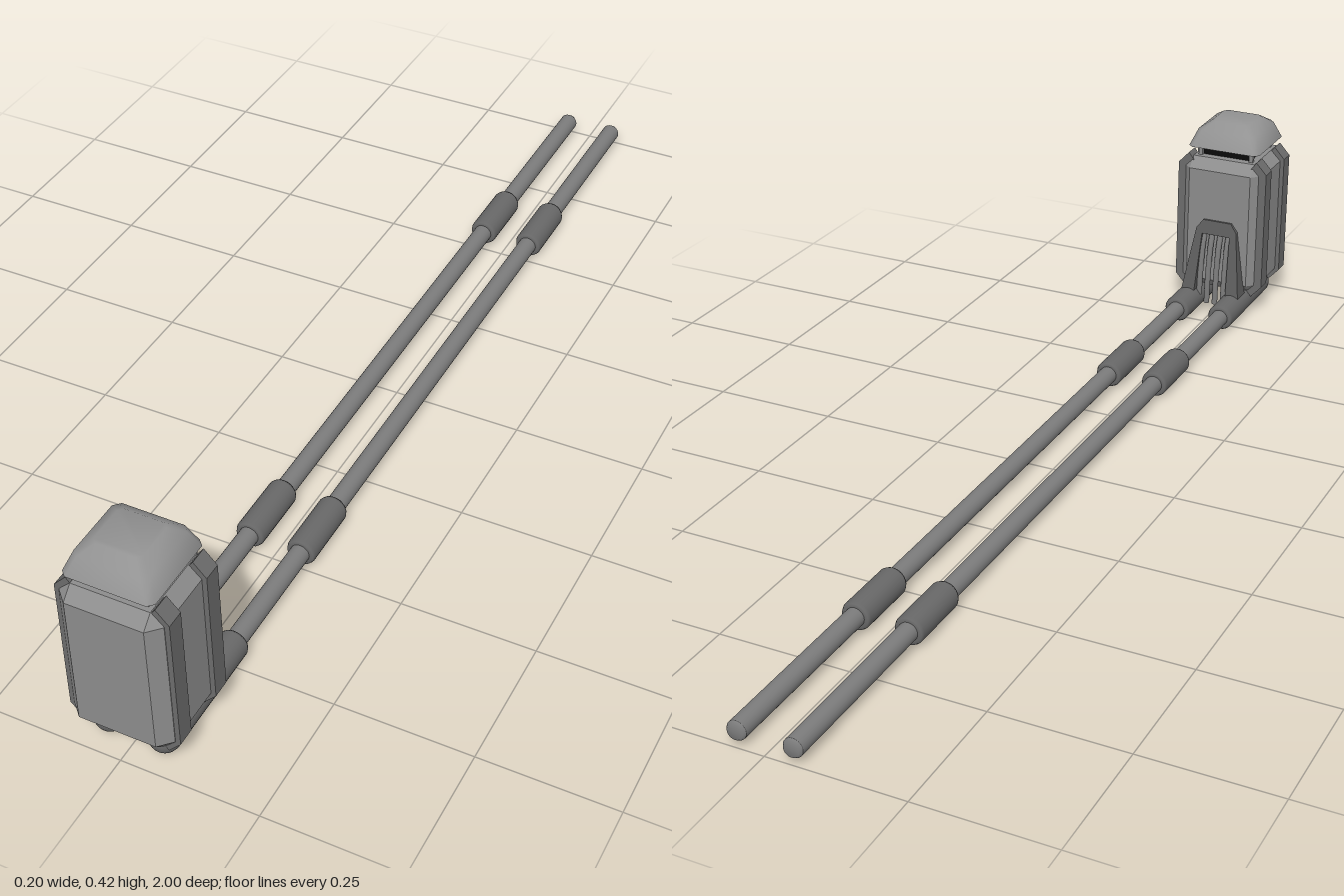
import * as THREE from 'three';
import { toCreasedNormals } from 'three/addons/utils/BufferGeometryUtils.js';

const paint = (color, flatShading = false) => new THREE.MeshStandardMaterial({ color, flatShading });
const shell = paint(0x8d8d8d, true);
const capPaint = paint(0x939393);
const ribPaint = paint(0x6c6c6c, true);
const archPaint = paint(0x5e5e5e, true);
const pipePaint = paint(0x7c7c7c);
const sleevePaint = paint(0x686868);
const cablePaint = paint(0x7c7c7c);
cablePaint.side = THREE.DoubleSide;
const black = paint(0x0a0a0a);
const CZ = 0.91; // depth centre of the housing

function add(parent, name, geometry, material, x = 0, y = 0, z = 0) {
  const mesh = new THREE.Mesh(geometry, material);
  mesh.name = name;
  mesh.position.set(x, y, z);
  parent.add(mesh);
  return mesh;
}

// Closed loft through chamfered rectangles: [y, halfX, halfZ, chamfer]
function loft(rings) {
  const pos = [], idx = [];
  for (const [y, a, b, c] of rings) {
    const ring = [[a, b - c], [a, c - b], [a - c, -b], [c - a, -b], [-a, c - b], [-a, b - c], [c - a, b], [a - c, b]];
    for (const [x, z] of ring) pos.push(x, y, z);
  }
  for (let r = 0; r < rings.length - 1; r++) {
    for (let i = 0; i < 8; i++) {
      const p = r * 8 + i, q = r * 8 + (i + 1) % 8;
      idx.push(p, q, q + 8, p, q + 8, p + 8);
    }
  }
  const top = (rings.length - 1) * 8;
  for (let i = 1; i < 7; i++) idx.push(0, i + 1, i, top, top + i, top + i + 1);
  const g = new THREE.BufferGeometry();
  g.setAttribute('position', new THREE.Float32BufferAttribute(pos, 3));
  g.setIndex(idx);
  const out = g.toNonIndexed();
  out.computeVertexNormals();
  return out;
}

// Round bar along z, from a list of [radius, z] with z rising
function turned(profile) {
  const g = new THREE.LatheGeometry(profile.map(([r, z]) => new THREE.Vector2(r, z)), 24);
  return g.rotateX(Math.PI / 2);
}

function polygon(points) {
  return new THREE.Shape(points.map(([x, y]) => new THREE.Vector2(x, y)));
}

export function createModel() {
  const model = new THREE.Group();
  model.name = 'pipeStation';

  // Chamfered housing
  add(model, 'housing', loft([
    [0.046, 0.07, 0.068, 0],
    [0.068, 0.092, 0.09, 0.022],
    [0.322, 0.092, 0.09, 0.022],
    [0.344, 0.07, 0.068, 0],
  ]), shell, 0, 0, CZ);

  // Neck with corner posts
  add(model, 'neckCore', new THREE.BoxGeometry(0.108, 0.045, 0.1), black, 0, 0.364, CZ);
  for (const sx of [-1, 1]) {
    for (const sz of [-1, 1]) {
      add(model, 'neckPost', new THREE.BoxGeometry(0.009, 0.045, 0.009), shell, sx * 0.058, 0.364, CZ + sz * 0.054);
    }
  }

  // Cap with a hollow underside and softly shaded slopes
  add(model, 'cap', toCreasedNormals(loft([
    [0.382, 0.062, 0.06, 0.01],
    [0.366, 0.07, 0.068, 0.01],
    [0.366, 0.081, 0.078, 0.01],
    [0.402, 0.066, 0.064, 0.011],
    [0.418, 0.043, 0.041, 0.008],
  ]), 0.9), capPaint, 0, 0, CZ);

  // Side ribs, two on each side
  for (const s of [-1, 1]) {
    const pts = [[0.066, 0.336], [0.078, 0.352], [0.101, 0.327], [0.101, 0.065], [0.078, 0.04], [0.066, 0.054]];
    const shape = polygon(pts.map(([x, y]) => [s * x, y]));
    for (const z of [0.834, 0.944]) {
      const rib = new THREE.ExtrudeGeometry(shape, { depth: 0.033, bevelEnabled: false });
      add(model, 'sideRib', rib, ribPaint, 0, 0, z);
    }
  }

  // Rear arch whose back face slopes outward toward the foot
  const arch = new THREE.ExtrudeGeometry(polygon([
    [-0.068, 0.04], [-0.046, 0.192], [-0.032, 0.21], [0.032, 0.21], [0.046, 0.192], [0.068, 0.04],
    [0.037, 0.04], [0.032, 0.18], [-0.032, 0.18], [-0.037, 0.04],
  ]), { depth: 1, bevelEnabled: false });
  const p = arch.attributes.position;
  for (let i = 0; i < p.count; i++) {
    const back = 0.781 + (p.getY(i) - 0.04) * 0.2;
    p.setZ(i, p.getZ(i) < 0.5 ? back : 0.825);
  }
  arch.computeVertexNormals();
  add(model, 'rearArch', arch, archPaint);

  // Cables hanging inside the arch to just below the housing
  for (const x of [-0.0255, -0.0065, 0.0125, 0.0305]) {
    const path = new THREE.CatmullRomCurve3([
      [0.186, 0.825], [0.15, 0.813], [0.08, 0.803], [0.023, 0.8],
    ].map(([y, z]) => new THREE.Vector3(x, y, z)));
    add(model, 'cable', new THREE.TubeGeometry(path, 16, 0.0065, 8), cablePaint);
  }

  // Twin pipes with couplings and round-nosed base sleeves
  for (const x of [-0.0495, 0.0515]) {
    const pipe = new THREE.Group();
    pipe.name = x < 0 ? 'rightPipe' : 'leftPipe';
    pipe.position.set(x, 0.0285, 0);
    model.add(pipe);
    add(pipe, 'tube', turned([[0, -1], [0.014, -1], [0.018, -0.994], [0.018, -0.994], [0.018, 0.76]]), pipePaint);
    for (const z of [-0.58, 0.4275]) {
      add(pipe, 'coupling', turned([
        [0.018, -0.064], [0.025, -0.064], [0.0275, -0.058], [0.0275, 0.058], [0.025, 0.064], [0.018, 0.064],
      ]), sleevePaint, 0, 0, z);
    }
    const nose = [];
    for (let i = 0; i <= 8; i++) {
      const a = i / 8 * Math.PI / 2;
      nose.push([0.028 * Math.cos(a), 0.945 + 0.028 * Math.sin(a)]);
    }
    add(pipe, 'baseSleeve', turned([[0.018, 0.722], [0.025, 0.722], [0.028, 0.728], ...nose]), sleevePaint);
  }
  return model;
}
